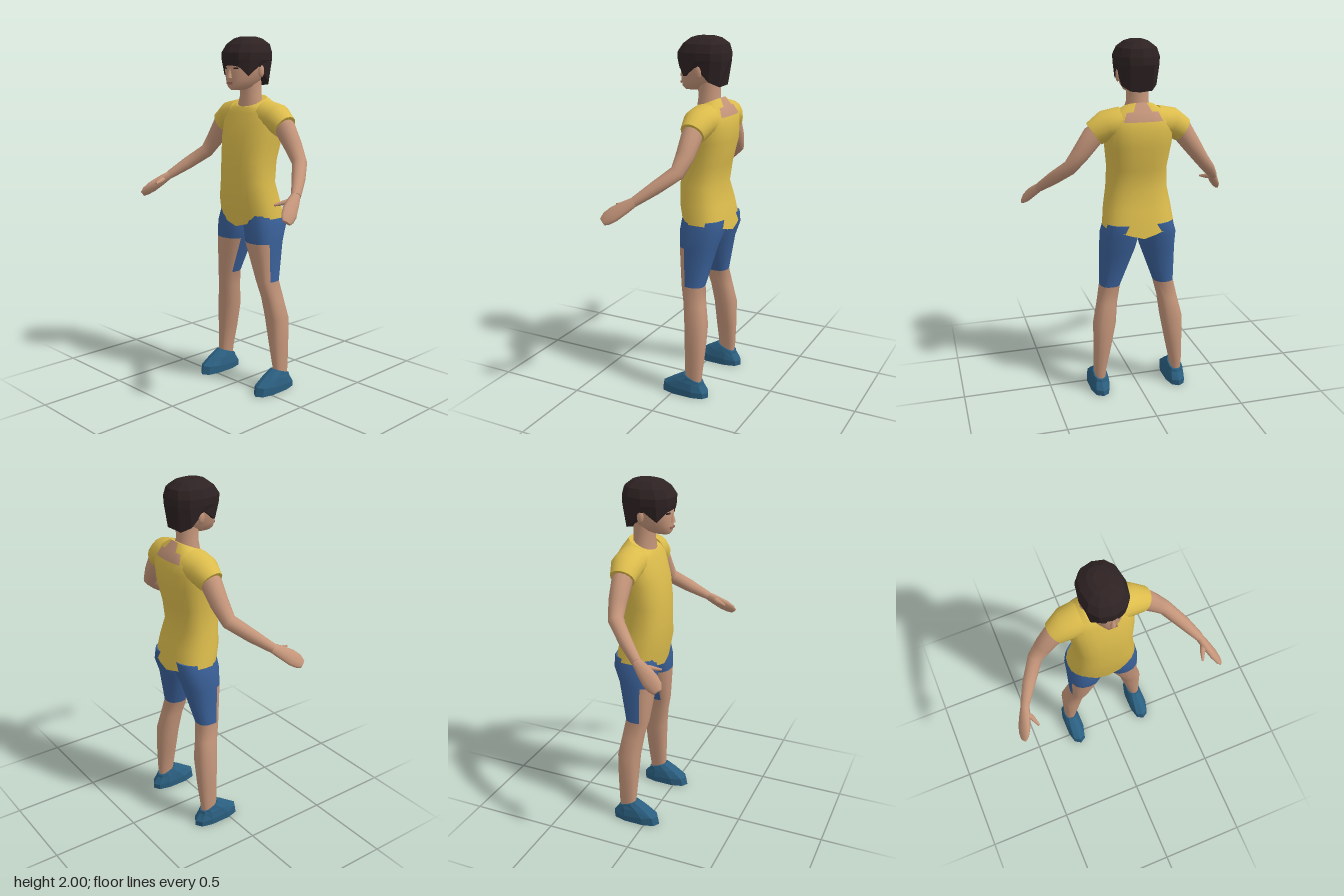
import * as THREE from 'three';

const mat = (name, color) => {
  const m = new THREE.MeshStandardMaterial({ color });
  m.name = name;
  return m;
};

// Horizontal cross-section: y may differ at front and back; e < 1 makes it squarer.
function ring(n, e, cx, rx, zf, zb, yf, yb = yf) {
  const pw = v => Math.sign(v) * Math.abs(v) ** e;
  return Array.from({ length: n }, (_, j) => {
    const t = (j / n) * Math.PI * 2, c = pw(Math.cos(t));
    return new THREE.Vector3(cx + rx * pw(Math.sin(t)), (yf + yb) / 2 + c * (yf - yb) / 2,
      (zf + zb) / 2 + c * (zf - zb) / 2);
  });
}

// Cross-sections square to a path of [x, y, z, thickness, width].
function pathRings(path, n) {
  const P = path.map(p => new THREE.Vector3(p[0], p[1], p[2]));
  return path.map((p, i) => {
    const T = P[Math.min(i + 1, P.length - 1)].clone().sub(P[Math.max(i - 1, 0)]).normalize();
    const V = new THREE.Vector3(0, 0, 1).addScaledVector(T, -T.z).normalize();
    const U = new THREE.Vector3().crossVectors(T, V);
    return Array.from({ length: n }, (_, j) => {
      const t = (j / n) * Math.PI * 2;
      return P[i].clone().addScaledVector(U, p[3] * Math.sin(t)).addScaledVector(V, p[4] * Math.cos(t));
    });
  });
}

// Skin over cross-sections with capped ends; pick(row, column) chooses the material index.
function loft(rings, { flat = false, pick = () => 0, mirror = false } = {}) {
  const n = rings[0].length, pos = [], faces = [[], []];
  const add = v => pos.push(mirror ? -v.x : v.x, v.y, v.z) / 3 - 1;
  const tri = (k, a, b, c) => faces[k].push(...(mirror ? [a, c, b] : [a, b, c]));
  rings.forEach(r => r.forEach(add));
  for (let i = 0; i < rings.length - 1; i++) {
    for (let j = 0; j < n; j++) {
      const a = i * n + j, b = i * n + (j + 1) % n, k = pick(i, j);
      tri(k, a, b, b + n);
      tri(k, a, b + n, a + n);
    }
  }
  [0, rings.length - 1].forEach((i, end) => {
    const r = rings[i], k = pick(Math.min(i, rings.length - 2), 0);
    const mid = add(r.reduce((s, v) => s.add(v), new THREE.Vector3()).divideScalar(n));
    const rim = r.map(add);
    rim.forEach((a, j) => {
      const b = rim[(j + 1) % n];
      end ? tri(k, mid, a, b) : tri(k, mid, b, a);
    });
  });
  let g = new THREE.BufferGeometry();
  g.setAttribute('position', new THREE.Float32BufferAttribute(pos, 3));
  g.setIndex([...faces[0], ...faces[1]]);
  g.addGroup(0, faces[0].length, 0);
  if (faces[1].length) g.addGroup(faces[0].length, faces[1].length, 1);
  if (flat) g = g.toNonIndexed();
  g.computeVertexNormals();
  return g;
}

export function createModel() {
  const root = new THREE.Group();
  root.name = 'person';
  const skin = mat('skin', 0xc4957a), shirt = mat('yellow shirt', 0xdcbc4c), shorts = mat('blue shorts', 0x3a6098);
  const shoe = mat('teal shoe', 0x2b5f80), hair = mat('dark hair', 0x2e2223), lip = mat('lips', 0xa06a5e);
  const put = (name, geo, m, parent = root) => {
    const mesh = new THREE.Mesh(geo, m);
    mesh.name = name;
    parent.add(mesh);
    return mesh;
  };

  // Shirt body: V-shaped hem, scooped neck and a bare patch below the nape
  const body = [
    [0.2, 0.015, -0.247, 1.0], [0.187, 0.04, -0.225, 1.1], [0.17, 0.04, -0.195, 1.2],
    [0.165, 0.042, -0.215, 1.32], [0.182, 0.025, -0.245, 1.45], [0.19, 0, -0.245, 1.53],
    [0.188, -0.018, -0.235, 1.585], [0.15, -0.03, -0.21, 1.61, 1.635], [0.085, -0.035, -0.18, 1.62, 1.68],
  ].map(r => ring(24, 0.8, 0, ...r));
  body[0].forEach(v => { v.y -= 0.055 * (1 - Math.abs(v.x) / 0.2); });
  const bare = (i, j) => ((i === 6 && j > 9 && j < 14) || (i === 7 && j > 10 && j < 13) ? 1 : 0);
  put('shirt', loft(body, { pick: bare }), [shirt, skin]);

  // Neck
  put('neck', loft([
    [0.078, -0.035, -0.17, 1.58], [0.078, -0.035, -0.17, 1.63], [0.06, -0.04, -0.16, 1.68], [0.06, -0.03, -0.16, 1.78],
  ].map(r => ring(16, 1, 0, ...r))), skin);

  // Head
  const head = new THREE.Group();
  head.name = 'head';
  root.add(head);
  put('face', loft([
    [0.025, 0.045, -0.05, 1.712], [0.052, 0.058, -0.1, 1.728], [0.078, 0.062, -0.15, 1.765],
    [0.094, 0.062, -0.18, 1.81], [0.1, 0.06, -0.19, 1.85], [0.1, 0.05, -0.19, 1.9], [0.07, 0, -0.15, 1.96],
  ].map(r => ring(20, 0.9, 0, ...r))), skin, head);
  put('nose', loft([
    [0.017, 0.078, 0.045, 1.778], [0.014, 0.078, 0.045, 1.788], [0.006, 0.064, 0.045, 1.83],
  ].map(r => ring(8, 1, 0, ...r))), skin, head);
  put('lips', new THREE.BoxGeometry(0.05, 0.012, 0.008), lip, head).position.set(0, 1.75, 0.06);

  // Hair cap with an uneven lower edge, listed from forehead to nape
  const edge = [1.85, 1.842, 1.79, 1.845, 1.765, 1.74, 1.73];
  const cap = [
    [0.108, 0.07, -0.195, 1.8], [0.12, 0.076, -0.217, 1.875], [0.122, 0.076, -0.217, 1.915],
    [0.105, 0.045, -0.205, 1.96], [0.065, 0.005, -0.165, 1.99], [0.035, -0.03, -0.13, 2.0],
  ].map(r => ring(12, 0.85, 0, ...r));
  cap[0].forEach((v, j) => { v.y = edge[Math.min(j, 12 - j)]; });
  cap[0][6].z = -0.16;
  put('hair', loft(cap, { flat: true }), hair, head);

  for (const s of [1, -1]) {
    const side = s > 0 ? 'left' : 'right', mirror = s < 0;

    // Eye, brow and ear
    const eye = put(side + 'Eye', new THREE.BoxGeometry(0.028, 0.008, 0.006), hair, head);
    eye.position.set(s * 0.042, 1.831, 0.054);
    eye.rotation.y = s * 0.3;
    const brow = put(side + 'Brow', new THREE.BoxGeometry(0.036, 0.005, 0.006), hair, head);
    brow.position.set(s * 0.043, 1.846, 0.054);
    brow.rotation.y = s * 0.3;
    const ear = put(side + 'Ear', new THREE.SphereGeometry(1, 8, 6), skin, head);
    ear.scale.set(0.012, 0.035, 0.02);
    ear.position.set(s * 0.102, 1.815, -0.08);

    // Sleeve, arm, hand and thumb
    put(side + 'Sleeve', loft(pathRings([
      [0.1, 1.57, -0.125, 0.085, 0.095], [0.18, 1.56, -0.125, 0.08, 0.09], [0.245, 1.515, -0.12, 0.07, 0.068],
    ], 16), { mirror }), shirt);
    put(side + 'Arm', loft(pathRings([
      [0.2, 1.55, -0.12, 0.05, 0.05], [0.25, 1.505, -0.12, 0.06, 0.056], [0.315, 1.415, -0.115, 0.05, 0.05],
      [0.375, 1.335, -0.1, 0.04, 0.042], [0.45, 1.26, -0.01, 0.036, 0.036], [0.515, 1.19, 0.08, 0.024, 0.027],
    ], 12), { mirror }), skin);
    put(side + 'Hand', loft(pathRings([
      [0.51, 1.195, 0.073, 0.022, 0.025], [0.535, 1.16, 0.125, 0.024, 0.038], [0.56, 1.125, 0.175, 0.022, 0.046],
      [0.577, 1.1, 0.21, 0.016, 0.04], [0.588, 1.083, 0.228, 0.008, 0.025],
    ], 10), { mirror }), skin);
    put(side + 'Thumb', loft(pathRings([
      [0.53, 1.175, 0.11, 0.016, 0.02], [0.502, 1.165, 0.155, 0.013, 0.015], [0.482, 1.155, 0.205, 0.006, 0.006],
    ], 8), { mirror }), skin);

    // Leg, with shorts reaching lower at the side and back than at the front
    const leg = [
      [0.03, 0.255, 0.2, -0.08, -0.16], [0.13, 0.262, 0.195, -0.07, -0.17], [0.27, 0.262, 0.165, -0.062, -0.18],
      [0.42, 0.262, 0.135, -0.055, -0.185], [0.54, 0.235, 0.122, -0.038, -0.165], [0.64, 0.215, 0.1, -0.015, -0.15],
      [0.86, 0.213, 0.018, 0.01, -0.2], [0.95, 0.212, 0, 0.013, -0.235], [1.02, 0.192, 0, 0.005, -0.235],
    ].map(([y, o, i, zf, zb]) => ring(16, 0.85, (o + i) / 2, (o - i) / 2, zf, zb, y));
    const cloth = (i, j) => (i > 5 || (i === 5 && j > 2 && j < 13) ? 1 : 0);
    put(side + 'Leg', loft(leg, { pick: cloth, mirror }), [skin, shorts]);

    // Shoe
    put(side + 'Shoe', loft([
      [0.055, 0.08, -0.212, 0, 0], [0.057, 0.07, -0.212, 0.05, 0.03],
      [0.05, 0.0, -0.18, 0.095, 0.07], [0.04, -0.06, -0.175, 0.13, 0.085],
    ].map(r => ring(10, 0.8, 0.228, ...r)), { flat: true, mirror }), shoe);
  }
  return root;
}
